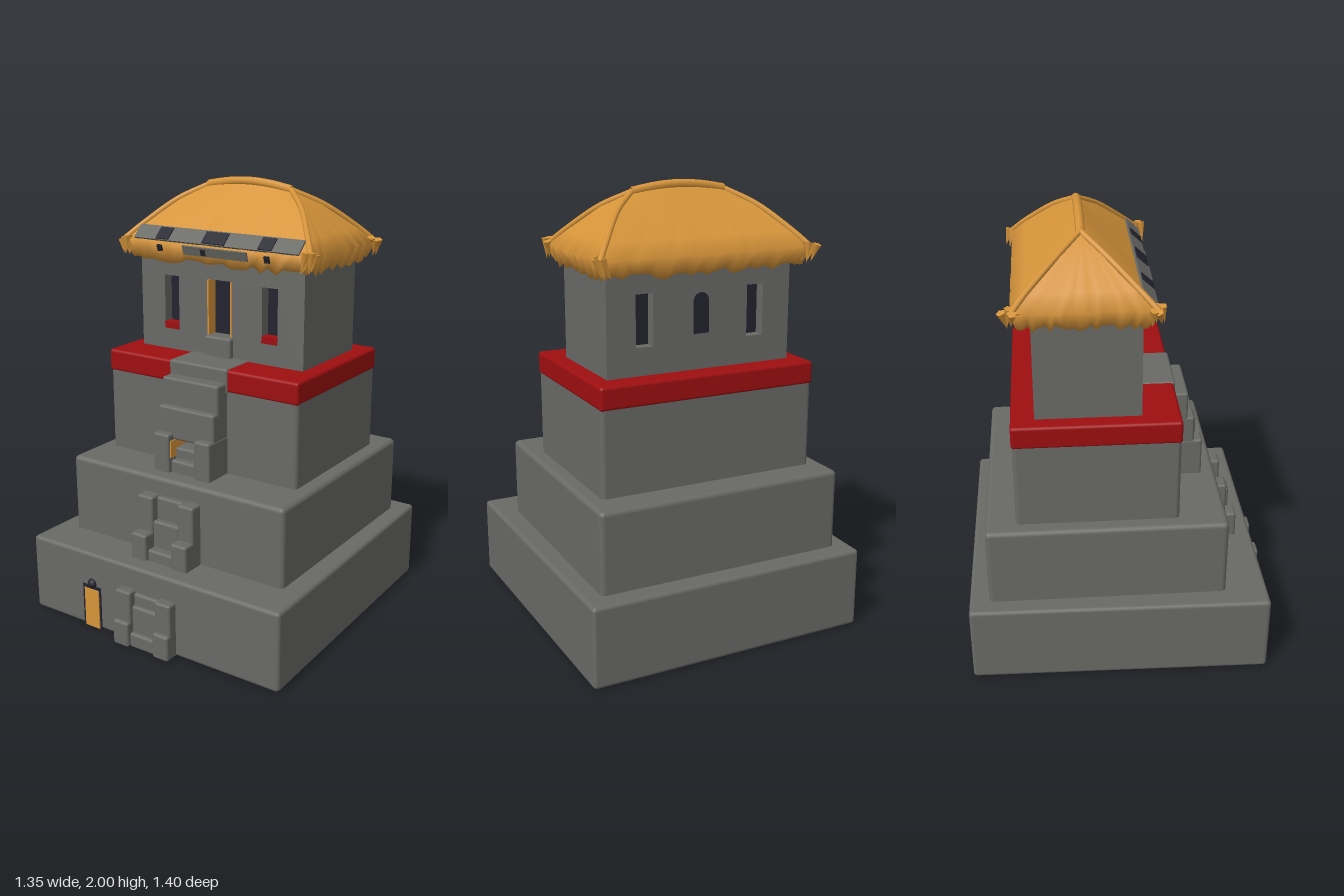
import * as THREE from 'three';
import { RoundedBoxGeometry } from 'three/addons/geometries/RoundedBoxGeometry.js';

const mat = (name, color, side = THREE.FrontSide) => {
  const m = new THREE.MeshStandardMaterial({ color, side });
  m.name = name;
  return m;
};

export function createModel() {
  const stone = mat('grey stone', 0x696a66);
  const red = mat('red paint', 0x9e0e10);
  const straw = mat('golden thatch', 0xd6943a, THREE.DoubleSide);
  const dark = mat('dark opening', 0x23232f);

  const model = new THREE.Group();
  model.name = 'steppedTemple';

  const add = (name, geometry, material, parent = model) => {
    const mesh = new THREE.Mesh(geometry, material);
    mesh.name = name;
    parent.add(mesh);
    return mesh;
  };
  // Box given by its extents; r > 0 rounds the edges
  const block = (name, [x0, x1], [y0, y1], [z0, z1], material = stone, r = 0, parent = model) => {
    const s = [x1 - x0, y1 - y0, z1 - z0];
    const g = r ? new RoundedBoxGeometry(...s, 3, r) : new THREE.BoxGeometry(...s);
    g.translate((x0 + x1) / 2, (y0 + y1) / 2, (z0 + z1) / 2);
    return add(name, g, material, parent);
  };

  // Stepped platform; the lowest tier narrows slightly toward the back
  const base = block('lowerTier', [-0.675, 0.675], [0, 0.368], [-0.7, 0.64], stone, 0.018);
  const p = base.geometry.attributes.position;
  for (let i = 0; i < p.count; i++) if (p.getZ(i) < 0) p.setX(i, p.getX(i) * 0.965);
  block('middleTier', [-0.575, 0.575], [0.33, 0.732], [-0.612, 0.45], stone, 0.022);
  block('upperTier', [-0.508, 0.508], [0.7, 1.16], [-0.478, 0.238], stone, 0.02);
  block('redBand', [-0.511, 0.511], [1.11, 1.213], [-0.482, 0.242], red, 0.014);

  // Stairs: each row is half width from/to, bottom, top, back, front
  const stairs = new THREE.Group();
  stairs.name = 'stairs';
  model.add(stairs);
  const balustrades = [
    [0, 0.12, 0.6, 0.705], [0.1, 0.262, 0.6, 0.685],
    [0.34, 0.49, 0.42, 0.563], [0.46, 0.655, 0.42, 0.51],
    [0.71, 0.91, 0.2, 0.383],
  ];
  for (const [y0, y1, z0, z1] of balustrades)
    for (const s of [-1, 1])
      block('balustrade', s > 0 ? [0.068, 0.152] : [-0.152, -0.068], [y0, y1], [z0, z1], stone, 0.012, stairs);
  const steps = [
    [0.07, 0, 0.07, 0.6, 0.69], [0.07, 0.05, 0.195, 0.6, 0.67], [0.07, 0.17, 0.25, 0.6, 0.655],
    [0.07, 0.33, 0.42, 0.4, 0.548], [0.07, 0.4, 0.545, 0.4, 0.505], [0.07, 0.52, 0.65, 0.4, 0.475],
    [0.07, 0.71, 0.79, 0.2, 0.365], [0.07, 0.77, 0.84, 0.2, 0.33],
    [0.15, 0.88, 1.03, 0.15, 0.345], [0.15, 1.0, 1.155, 0.12, 0.312], [0.156, 1.1, 1.218, 0.03, 0.25],
    [0.072, 1.2, 1.31, 0, 0.1],
  ];
  for (const [w, y0, y1, z0, z1] of steps) block('step', [-w, w], [y0, y1], [z0, z1], stone, 0.012, stairs);
  block('nichePanel', [-0.069, -0.062], [0.8, 0.88], [0.24, 0.37], straw, 0, stairs);

  // Small door in the lowest tier
  block('smallDoorFrame', [-0.375, -0.27], [0, 0.208], [0.63, 0.643], dark);
  block('smallDoor', [-0.362, -0.28], [0.002, 0.192], [0.63, 0.648], straw);
  const knob = add('doorOrnament', new THREE.SphereGeometry(0.024, 12, 8), dark);
  knob.position.set(-0.32, 0.22, 0.638);

  // House: solid core with pierced front and back walls
  const house = new THREE.Group();
  house.name = 'house';
  model.add(house);
  block('houseCore', [-0.438, 0.438], [1.2, 1.72], [-0.325, 0.02], stone, 0, house);
  const wall = (name, openings, z) => {
    const rect = (T, x0, x1, y0, y1) => new T([[x0, y0], [x1, y0], [x1, y1], [x0, y1]].map(q => new THREE.Vector2(...q)));
    const shape = rect(THREE.Shape, -0.438, 0.438, 1.2, 1.72);
    for (const o of openings) shape.holes.push(rect(THREE.Path, ...o));
    add(name, new THREE.ExtrudeGeometry(shape, { depth: 0.055, bevelEnabled: false }).translate(0, 0, z), stone, house);
  };
  const windows = [[-0.305, -0.225, 1.335, 1.56], [0.225, 0.305, 1.335, 1.56]];
  const doorway = [-0.066, 0.066, 1.22, 1.565];
  wall('frontWall', [...windows, doorway], 0.02);
  wall('backWall', windows, -0.38);
  for (const [x0, x1, y0, y1] of [...windows, doorway])
    block('frontOpening', [x0, x1], [y0, y1], [0.018, 0.024], dark, 0, house);
  for (const [x0, x1, y0, y1] of windows) {
    block('backOpening', [x0, x1], [y0, y1], [-0.329, -0.323], dark, 0, house);
    block('redSill', [x0, x1], [y0 - 0.025, y0 + 0.006], [0.03, 0.079], red, 0, house);
  }
  for (const s of [-1, 1])
    block('doorJamb', [s * 0.062 - 0.004, s * 0.062 + 0.004], [1.3, 1.562], [0.02, 0.077], straw, 0, house);
  // Arched window at the back
  const arch = new THREE.Shape();
  arch.moveTo(-0.036, 1.37).lineTo(0.036, 1.37).lineTo(0.036, 1.51);
  arch.absarc(0, 1.51, 0.036, 0, Math.PI, false);
  add('archedWindow', new THREE.ExtrudeGeometry(arch, { depth: 0.008, bevelEnabled: false }).translate(0, 0, -0.385), dark, house);

  // Thatched hip roof: levels of [y, half width, back z, front z], ragged at the eaves
  const roof = new THREE.Group();
  roof.name = 'roof';
  model.add(roof);
  const levels = [
    [1.955, 0.22, -0.165, -0.165], [1.89, 0.33, -0.265, -0.068], [1.78, 0.44, -0.395, 0.06],
    [1.715, 0.495, -0.458, 0.13], [1.64, 0.465, -0.435, 0.105], [1.68, 0.425, -0.365, 0.055],
  ];
  let seed = 7;
  const rand = () => (seed = (seed * 16807) % 2147483647) / 2147483647 - 0.5;
  const corners = ([, w, b, f]) => [[-w, f], [w, f], [w, b], [-w, b]];
  const N = 24;
  for (let side = 0; side < 4; side++) {
    const pos = [], idx = [];
    levels.forEach((level, l) => {
      const c = corners(level), a = c[side], b = c[(side + 1) % 4];
      for (let i = 0; i <= N; i++) {
        const u = i / N, inner = i > 0 && i < N;
        const rag = inner ? [0, 0, 0.004, 0.014, 0.035, 0][l] : 0;
        const x = a[0] + (b[0] - a[0]) * u, z = a[1] + (b[1] - a[1]) * u;
        const hump = l === 0 ? 0.025 * (1 - (x / 0.22) ** 2) : 0;
        pos.push(x * (1 + rand() * rag), level[0] + hump + rand() * rag, z + rand() * rag * 0.3);
        if (l && i) {
          const k = l * (N + 1) + i, up = k - N - 1;
          idx.push(up - 1, k - 1, up, up, k - 1, k);
        }
      }
    });
    const g = new THREE.BufferGeometry();
    g.setAttribute('position', new THREE.Float32BufferAttribute(pos, 3));
    g.setIndex(idx);
    g.computeVertexNormals();
    add('thatchSlope', g, straw, roof);
  }
  // Ridge roll and hip rolls
  const roll = (name, pts, r) => add(name, new THREE.TubeGeometry(
    new THREE.CatmullRomCurve3(pts.map(q => new THREE.Vector3(...q))), 20, r, 8), straw, roof);
  roll('ridgeRoll', [[-0.22, 1.955, -0.165], [-0.11, 1.973, -0.165], [0, 1.98, -0.165], [0.11, 1.973, -0.165], [0.22, 1.955, -0.165]], 0.02);
  for (let k = 0; k < 4; k++) {
    roll('hipRoll', levels.slice(0, 4).map(l => [corners(l)[k][0], l[0], corners(l)[k][1]]), 0.013);
    // Straw tufts hanging from the corner
    const [x, z] = corners(levels[3])[k];
    for (let t = 0; t < 4; t++) {
      const tuft = add('strawTuft', new THREE.ConeGeometry(0.02, 0.085 + rand() * 0.04, 5), straw, roof);
      tuft.position.set(x * (1 - 0.05 * (t % 2)), 1.69 + rand() * 0.02, z + (t - 1.5) * 0.014);
      tuft.rotation.set(Math.PI + rand() * 0.6, 0, Math.sign(x) * 0.25 + rand() * 0.4);
    }
  }

  // Thin plates lying on the front slope between two heights
  const eaveZ = y => (y > 1.715 ? 0.13 - (y - 1.715) * 1.077 : 0.13 - (1.715 - y) * 0.333);
  const slopePlate = (name, x, w, y0, y1, lift, material) => {
    const z0 = eaveZ(y0), z1 = eaveZ(y1);
    const plate = add(name, new THREE.BoxGeometry(w, Math.hypot(y1 - y0, z1 - z0), 0.009), material, roof);
    plate.rotation.x = Math.atan2(z1 - z0, y1 - y0);
    plate.position.set(x, (y0 + y1) / 2 + lift * 0.7, (z0 + z1) / 2 + lift);
  };
  slopePlate('frieze', 0, 0.87, 1.722, 1.775, 0.006, stone);
  for (const [x, w] of [[-0.277, 0.07], [0, 0.12], [0.268, 0.07]])
    slopePlate('friezeWindow', x, w, 1.725, 1.77, 0.01, dark);
  slopePlate('bareEavePatch', 0.01, 0.34, 1.67, 1.71, 0.006, stone);
  for (const x of [-0.29, -0.05, 0.28]) slopePlate('eaveSlot', x, 0.025, 1.672, 1.7, 0.009, dark);

  return model;
}
